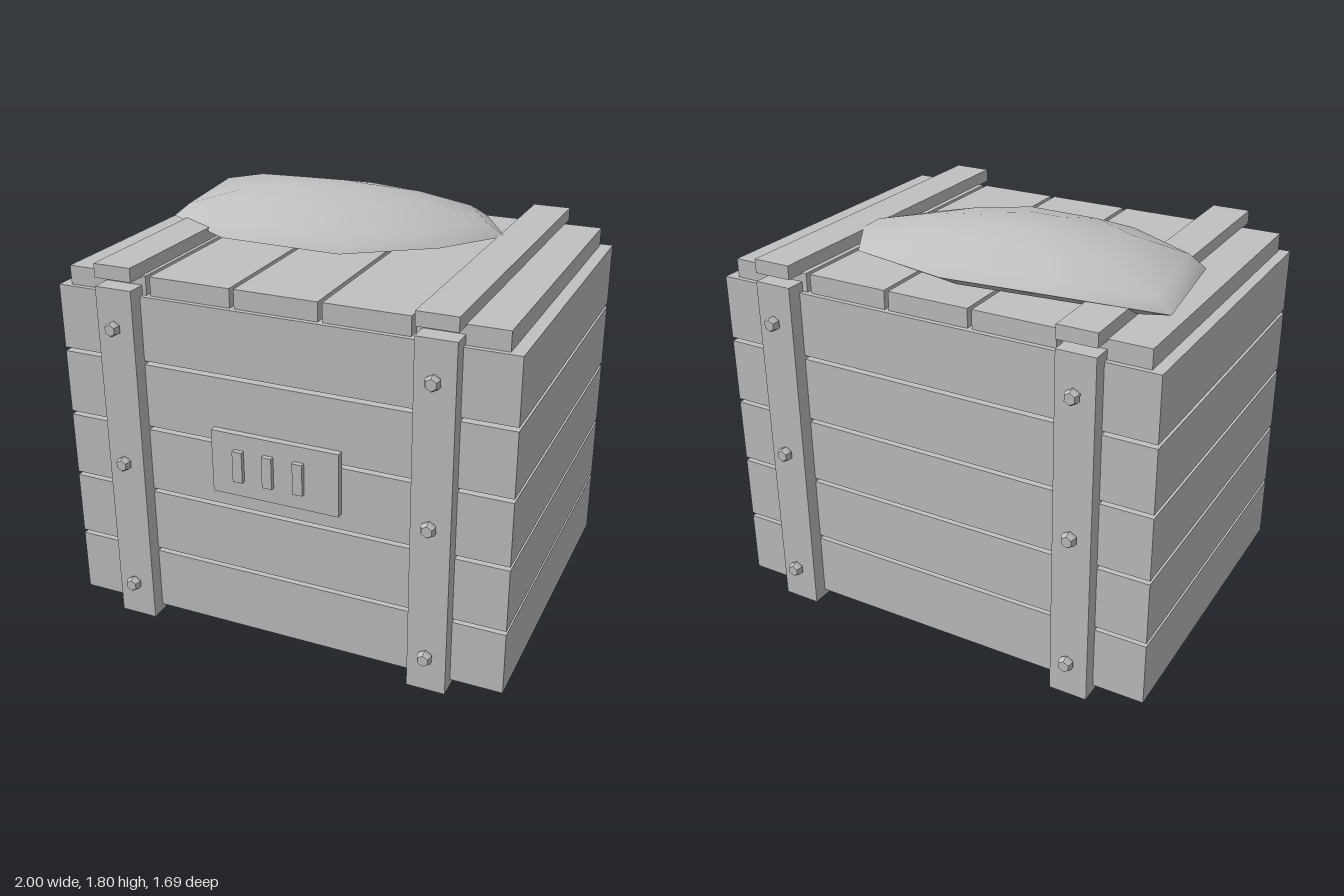
import * as THREE from 'three';

const grey = new THREE.MeshStandardMaterial({ color: 0xc0c0c0 });
grey.name = 'plainGrey';

// Rings are [scale, height]; the outline is scaled about the mound's centre.
const outline = [[-0.94, -0.53], [-0.45, -0.575], [0, -0.62], [0.46, -0.515], [0.63, -0.24],
  [0.42, 0.02], [0.06, 0.25], [-0.5, 0.235], [-0.865, 0.02]];
const centre = [-0.2, -0.22];

function loft(rings) {
  const positions = [], index = [], n = outline.length;
  for (const [t, y] of rings) {
    for (const [x, z] of outline) {
      // the rim sags slightly towards the front
      const sag = t === 1 ? -0.02 * (z + 0.62) / 0.87 : 0;
      positions.push(centre[0] + (x - centre[0]) * t, y + sag, centre[1] + (z - centre[1]) * t);
    }
  }
  for (let r = 0; r < rings.length - 1; r++) {
    for (let i = 0; i < n; i++) {
      const j = (i + 1) % n, o = r * n, q = o + n;
      index.push(q + i, o + j, o + i, q + i, q + j, o + j);
    }
  }
  const geometry = new THREE.BufferGeometry();
  geometry.setAttribute('position', new THREE.Float32BufferAttribute(positions, 3));
  geometry.setIndex(index);
  geometry.computeVertexNormals();
  return geometry;
}

export function createModel() {
  const model = new THREE.Group();
  model.name = 'crate';

  const add = (name, geometry, x = 0, y = 0, z = 0) => {
    const mesh = new THREE.Mesh(geometry, grey);
    mesh.name = name;
    mesh.position.set(x, y, z);
    model.add(mesh);
    return mesh;
  };
  // Box given by its lower and upper corners
  const box = (name, x0, x1, y0, y1, z0, z1) =>
    add(name, new THREE.BoxGeometry(x1 - x0, y1 - y0, z1 - z0),
      (x0 + x1) / 2, (y0 + y1) / 2, (z0 + z1) / 2);

  // Inner body, seen through the gaps
  box('innerBody', -0.92, 0.92, 0.05, 1.5, -0.65, 0.65);

  // Five rows of planks around the sides
  for (let row = 0; row < 5; row++) {
    const y0 = 0.03 + row * 0.299, y1 = y0 + 0.282;
    box('backPlank', -1, 1, y0, y1, -0.735, -0.67);
    box('frontPlank', -1, 1, y0, y1, 0.67, 0.735);
    box('rightPlank', -1, -0.93, y0, y1, -0.67, 0.67);
    box('leftPlank', 0.93, 1, y0, y1, -0.67, 0.67);
  }

  // Lid planks
  for (let i = 0; i < 5; i++) {
    const x0 = -0.952 + i * 0.3835;
    box('lidPlank', x0, x0 + 0.364, 1.508, 1.59, -0.713, 0.713);
  }

  // Braces, lid battens and bolts
  const boltBase = new THREE.CylinderGeometry(0.033, 0.033, 0.018, 6).toNonIndexed();
  const boltCap = new THREE.CylinderGeometry(0.025, 0.033, 0.014, 6).toNonIndexed();
  boltBase.computeVertexNormals();
  boltCap.computeVertexNormals();
  for (const side of [-1, 1]) {
    const x = side * 0.69;
    box('lidBatten', x - 0.085, x + 0.085, 1.585, 1.645, -0.795, 0.795);
    for (const face of [-1, 1]) {
      const inner = face * 0.705, outer = face * 0.8;
      box('brace', x - 0.084, x + 0.084, 0, 1.55, Math.min(inner, outer), Math.max(inner, outer));
      for (const y of [0.17, 0.77, 1.385]) {
        add('boltBase', boltBase, x, y, face * 0.822).rotation.x = face * Math.PI / 2;
        add('boltCap', boltCap, x, y, face * 0.838).rotation.x = face * Math.PI / 2;
      }
    }
  }

  // Front plate with three raised bars
  box('frontPlate', -0.287, 0.287, 0.702, 0.985, 0.73, 0.766);
  for (const x of [-0.16, -0.025, 0.113]) {
    box('plateBar', x - 0.022, x + 0.022, 0.775, 0.915, 0.76, 0.787);
  }

  // Soft mound resting on the lid
  add('moundTop', loft([[1, 1.65], [0.9, 1.693], [0.57, 1.76], [0.24, 1.794], [0.001, 1.797]]));
  add('moundUnderside', loft([[0.001, 1.6], [0.82, 1.605], [1, 1.65]]));

  return model;
}
